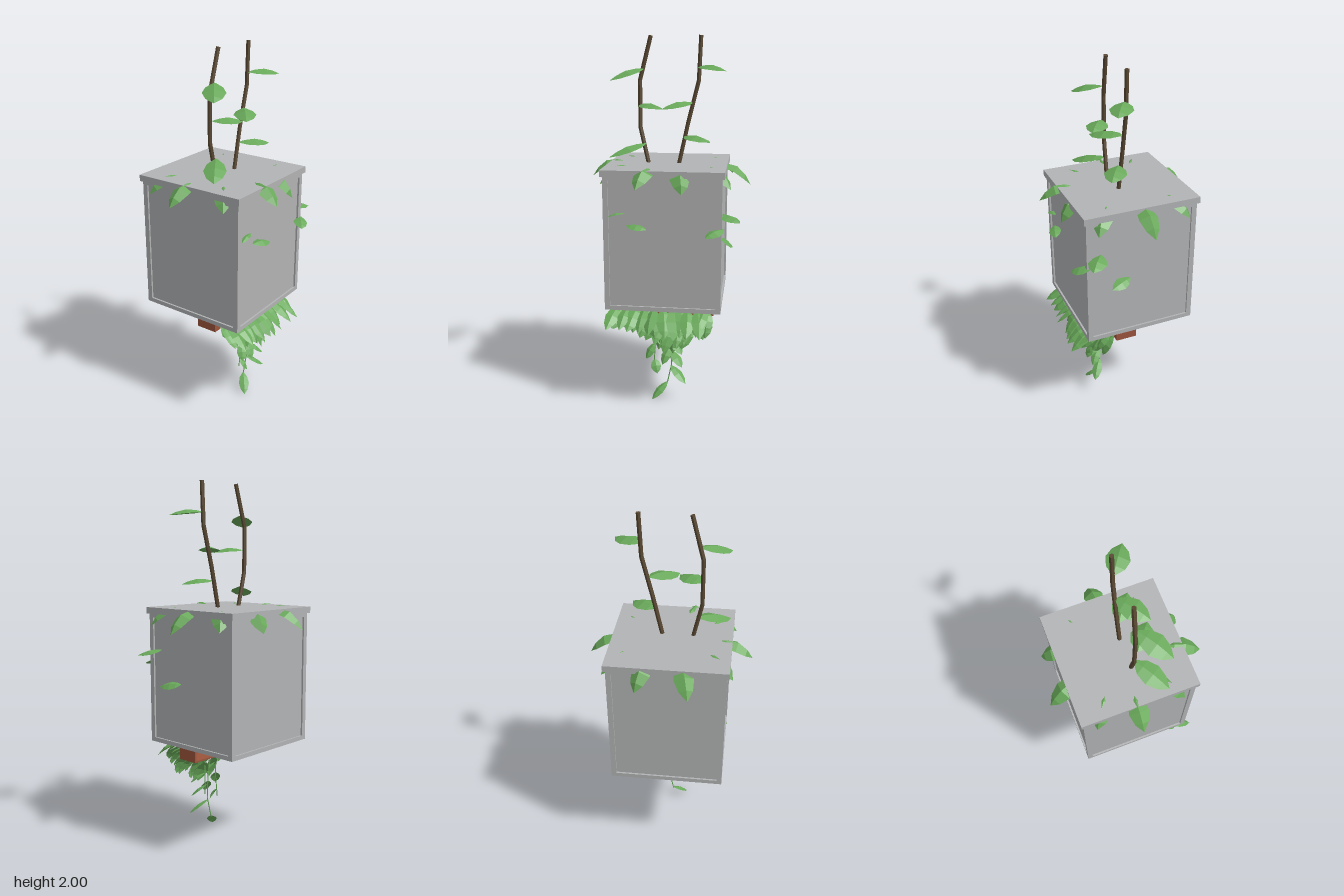
import * as THREE from 'three';

const leafGreen = new THREE.MeshStandardMaterial({ color: 0x69a95a, side: THREE.DoubleSide, flatShading: true });
leafGreen.name = 'leaf green';
const stone = new THREE.MeshStandardMaterial({ color: 0xb2b3b4 });
stone.name = 'stone grey';
const terracotta = new THREE.MeshStandardMaterial({ color: 0x9c543c });
terracotta.name = 'terracotta';
const bark = new THREE.MeshStandardMaterial({ color: 0x5a4933, flatShading: true });
bark.name = 'bark brown';

const V = (p) => new THREE.Vector3(...p);

let seed = 11;
const rnd = (a, b) => {
  seed = (seed * 16807) % 2147483647;
  return a + (b - a) * (seed / 2147483647);
};

// Faceted leaf folded along its midrib; arch bends it, up sets its facing
function leaf(name, base, tip, width, { arch = 0.02, up = [0, 1, 0], fold = 0.35 } = {}) {
  const a = V(base), b = V(tip);
  const dir = b.clone().sub(a).normalize();
  const side = dir.clone().cross(V(up)).normalize();
  const normal = side.clone().cross(dir);
  const rows = [[0, 0.12], [0.22, 0.75], [0.5, 1], [0.78, 0.68], [1, 0]];
  const pos = [], index = [];
  rows.forEach(([t, w], i) => {
    const mid = a.clone().lerp(b, t).addScaledVector(normal, arch * Math.sin(Math.PI * t));
    for (const s of [-1, 0, 1]) {
      const half = s * w * width / 2;
      const p = mid.clone().addScaledVector(side, half).addScaledVector(normal, -Math.abs(half) * fold);
      pos.push(p.x, p.y, p.z);
    }
    if (i) for (const k of [0, 1]) {
      const q = (i - 1) * 3 + k;
      index.push(q, q + 1, q + 3, q + 1, q + 4, q + 3);
    }
  });
  const g = new THREE.BufferGeometry();
  g.setAttribute('position', new THREE.Float32BufferAttribute(pos, 3));
  g.setIndex(index);
  g.computeVertexNormals();
  const m = new THREE.Mesh(g, leafGreen);
  m.name = name;
  return m;
}

function box(name, mat, x0, x1, y0, y1, z0, z1) {
  const m = new THREE.Mesh(new THREE.BoxGeometry(x1 - x0, y1 - y0, z1 - z0), mat);
  m.position.set((x0 + x1) / 2, (y0 + y1) / 2, (z0 + z1) / 2);
  m.name = name;
  return m;
}

// Jointed stem made of straight tapered-looking sections
function stem(name, points, r, mat) {
  const g = new THREE.Group();
  g.name = name;
  for (let i = 1; i < points.length; i++) {
    const a = V(points[i - 1]), b = V(points[i]);
    const m = new THREE.Mesh(new THREE.CylinderGeometry(r, r, a.distanceTo(b) + r * 0.3, 6), mat);
    m.position.copy(a).lerp(b, 0.5);
    m.quaternion.setFromUnitVectors(new THREE.Vector3(0, 1, 0), b.clone().sub(a).normalize());
    m.name = 'stemSection';
    g.add(m);
  }
  return g;
}

export function createModel() {
  const model = new THREE.Group();
  model.name = 'hangingPlantBlock';

  // Stone block: recessed panels, corner posts, base rail and lid
  const block = new THREE.Group();
  block.name = 'block';
  block.position.set(-0.007, 0, 0.003);
  const h = 0.309, post = 0.028;
  block.add(box('panels', stone, -h + 0.01, h - 0.01, 0.58, 1.31, -h + 0.01, h - 0.01));
  for (const sx of [-1, 1]) for (const sz of [-1, 1]) {
    const x = sx * (h - post / 2), z = sz * (h - post / 2);
    block.add(box('cornerPost', stone, x - post / 2, x + post / 2, 0.58, 1.31, z - post / 2, z + post / 2));
  }
  block.add(box('baseRail', stone, -h, h, 0.573, 0.597, -h, h));
  block.add(box('topRail', stone, -h, h, 1.275, 1.3, -h, h));
  block.add(box('lid', stone, -0.321, 0.321, 1.295, 1.33, -0.321, 0.321));
  model.add(block);

  // Upright stems
  model.add(stem('leftStem', [[-0.11, 1.3, 0.03], [-0.16, 1.52, 0.025], [-0.16, 1.77, 0.025], [-0.1, 1.997, 0.035]], 0.012, bark));
  model.add(stem('rightStem', [[0.045, 1.3, 0.03], [0.1, 1.55, 0.03], [0.155, 1.77, 0.035], [0.165, 1.999, 0.035]], 0.012, bark));

  // Broad leaves on the stems
  for (const [a, b] of [
    [[-0.14, 1.83, 0.04], [-0.3, 1.77, 0.155]],
    [[-0.16, 1.64, 0.04], [-0.03, 1.625, 0.14]],
    [[0.12, 1.655, 0.04], [-0.03, 1.625, 0.16]],
    [[0.155, 1.84, 0.04], [0.305, 1.82, 0.14]],
    [[0.08, 1.475, 0.04], [0.225, 1.455, 0.14]],
    [[-0.13, 1.435, 0.04], [-0.31, 1.37, 0.16]],
  ]) model.add(leaf('stemLeaf', a, b, 0.12));

  // Ring of leaves draping over the lid
  const reach = [0.44, 0.43, 0.385, 0.435, 0.42, 0.44, 0.42, 0.44, 0.405, 0.42];
  const tipY = [1.21, 1.23, 1.22, 1.25, 1.24, 1.24, 1.24, 1.22, 1.22, 1.23];
  reach.forEach((r, i) => {
    const ang = (i * 36 + (i % 3 - 1) * 2 + 1) * Math.PI / 180;
    const c = Math.cos(ang), s = Math.sin(ang);
    model.add(leaf('lidLeaf', [0.24 * c, 1.325, 0.24 * s], [r * c, tipY[i], r * s], 0.105, { arch: 0.05, fold: 0.55 }));
  });

  // Small leaves growing out of the walls
  for (const [a, b, w, up] of [
    [[0.29, 1.1, 0.23], [0.395, 1.07, 0.31], 0.1, [0, 1, 0]],
    [[0.31, 1.035, 0.3], [0.22, 1.0, 0.37], 0.08, [0, 1, 0.2]],
    [[0.3, 0.925, 0.07], [0.345, 0.905, 0.19], 0.07, [0.6, 1, 0]],
    [[-0.2, 1.105, 0.31], [-0.29, 1.085, 0.32], 0.035, [0, 1, 0.1]],
    [[-0.19, 1.045, 0.32], [-0.08, 1.03, 0.35], 0.07, [0, 1, 0.2]],
  ]) model.add(leaf('wallLeaf', a, b, w, { arch: 0.012, up }));

  // Trough under the block, open at the back
  const trough = new THREE.Group();
  trough.name = 'trough';
  trough.add(box('troughBottom', terracotta, -0.265, 0.255, 0.49, 0.5, 0.01, 0.13));
  trough.add(box('troughFront', terracotta, -0.265, 0.255, 0.495, 0.575, 0.12, 0.13));
  for (const x of [-0.265, 0.245]) trough.add(box('troughEnd', terracotta, x, x + 0.01, 0.495, 0.575, 0.01, 0.13));
  trough.add(box('troughDivider', terracotta, -0.015, 0.005, 0.495, 0.575, 0.02, 0.12));
  model.add(trough);

  // Foliage spilling forward, longest in the middle
  for (let layer = 0; layer < 4; layer++) {
    for (let i = 0; i < 11; i++) {
      const x = -0.25 + i * 0.047 + rnd(-0.012, 0.012);
      const mid = Math.max(0, 1 - Math.abs(x - 0.04) / 0.22);
      const y = 0.56 - layer * 0.012 - mid * layer * 0.035;
      const z = 0.12 + rnd(0, 0.03) + (3 - layer) * 0.025;
      const drop = 0.09 + mid * 0.05 + rnd(-0.015, 0.02);
      const tip = [x + rnd(-0.045, 0.03), y - drop, z + 0.05 + (3 - layer) * 0.025 + rnd(0, 0.035)];
      model.add(leaf('troughLeaf', [x, y, z], tip, rnd(0.065, 0.095), { arch: 0.02, up: [rnd(-0.5, 0.5), 0.6, 1] }));
    }
  }

  // Trailing tendrils with small leaves
  const tendrils = [
    [[0, 0.45, 0.15], [0.015, 0.32, 0.15], [0.025, 0.2, 0.145], [0.0, 0.08, 0.14]],
    [[-0.06, 0.45, 0.16], [-0.065, 0.32, 0.165], [-0.075, 0.18, 0.16]],
    [[0.03, 0.42, 0.16], [0.03, 0.22, 0.16]],
  ];
  for (const t of tendrils) model.add(stem('tendril', t, 0.003, leafGreen));
  for (const [a, b] of [
    [[0.0, 0.085, 0.14], [-0.08, 0.001, 0.205]],
    [[0.02, 0.19, 0.145], [0.11, 0.11, 0.21]],
    [[0.025, 0.28, 0.15], [0.09, 0.21, 0.215]],
    [[0.03, 0.35, 0.16], [0.09, 0.29, 0.22]],
    [[-0.07, 0.23, 0.16], [-0.05, 0.16, 0.2]],
    [[-0.065, 0.33, 0.165], [-0.11, 0.25, 0.21]],
    [[0.015, 0.3, 0.15], [-0.02, 0.22, 0.21]],
    [[-0.06, 0.4, 0.16], [-0.01, 0.33, 0.21]],
  ]) model.add(leaf('tendrilLeaf', a, b, 0.06, { arch: 0.012, up: [0, 1, 0.1] }));

  return model;
}
